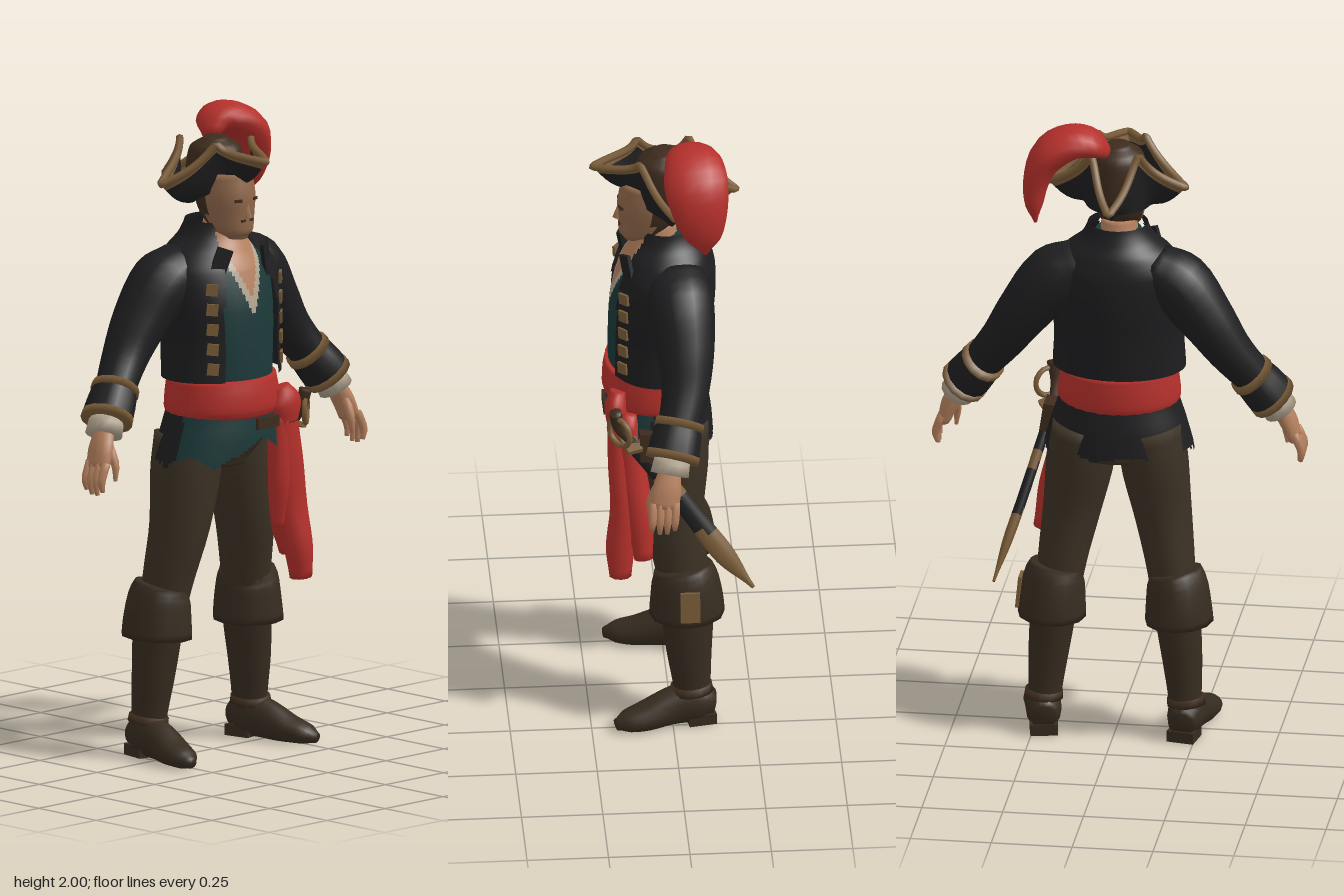
import * as THREE from 'three';

const paint = (name, color) => Object.assign(
  new THREE.MeshStandardMaterial({ color, side: THREE.DoubleSide }), { name });
const black = paint('black cloth', 0x1e1e20), red = paint('red cloth', 0xb5302b);
const teal = paint('teal vest', 0x1c3939), brown = paint('trouser brown', 0x3b3124);
const leather = paint('boot leather', 0x362c20), tan = paint('tan trim', 0x7a5c38);
const skin = paint('skin', 0xb5805e), face = paint('weathered skin', 0x8f674a);
const linen = paint('linen', 0xb3a590), hair = paint('dark hair', 0x3d2b1d);

// Oval sections [x, y, z, radiusU, radiusV] swept along a smooth path.
// pick(x, y, z, angle) chooses a material index per face, or -1 for a gap.
function loft(name, rings, mats, { n = 14, m = 14, ref = [0, 0, 1], flat = false, open = false, pick } = {}) {
  const path = new THREE.CatmullRomCurve3(rings.map(r => new THREE.Vector3(r[0], r[1], r[2])));
  const size = new THREE.SplineCurve(rings.map(r => new THREE.Vector2(r[3], r[4])));
  const pos = [], list = Array.isArray(mats) ? mats : [mats], buckets = list.map(() => []);
  const add = p => pos.push(p.x, Math.max(0, p.y), p.z);
  for (let k = 0; k <= m; k++) {
    const c = path.getPoint(k / m), s = size.getPoint(k / m);
    const t = flat ? new THREE.Vector3(0, 1, 0) : path.getTangent(k / m);
    const u = new THREE.Vector3(...ref).cross(t).normalize(), v = t.clone().cross(u);
    for (let j = 0; j < n; j++) {
      const a = j / n * Math.PI * 2;
      add(c.clone().addScaledVector(u, s.x * Math.cos(a)).addScaledVector(v, s.y * Math.sin(a)));
    }
  }
  for (let k = 0; k < m; k++) for (let j = 0; j < n; j++) {
    const a = k * n + j, b = k * n + (j + 1) % n, c = b + n, d = a + n;
    const mid = i => (pos[a * 3 + i] + pos[b * 3 + i] + pos[c * 3 + i] + pos[d * 3 + i]) / 4;
    const g = pick ? pick(mid(0), mid(1), mid(2), (j + 0.5) / n * Math.PI * 2) : 0;
    if (g >= 0) buckets[g].push(a, b, c, a, c, d);
  }
  if (!open) {
    const e = pos.length / 3, top = m * n;
    add(path.getPoint(0)); add(path.getPoint(1));
    for (let j = 0; j < n; j++) {
      const q = (j + 1) % n;
      buckets[0].push(e, q, j, e + 1, top + j, top + q);
    }
  }
  return meshOf(name, pos, buckets, list);
}

function meshOf(name, pos, buckets, list) {
  const geo = new THREE.BufferGeometry();
  geo.setAttribute('position', new THREE.Float32BufferAttribute(pos, 3));
  geo.setIndex(buckets.flat());
  let start = 0;
  if (list.length > 1) buckets.forEach((b, i) => { geo.addGroup(start, b.length, i); start += b.length; });
  geo.computeVertexNormals();
  const mesh = new THREE.Mesh(geo, list.length > 1 ? list : list[0]);
  mesh.name = name;
  return mesh;
}

function box(name, mat, w, h, d, x, y, z, ry = 0, rz = 0) {
  const b = new THREE.Mesh(new THREE.BoxGeometry(w, h, d), mat);
  b.position.set(x, y, z); b.rotation.set(0, ry, rz); b.name = name;
  return b;
}

// Four-pointed brim: low at its sharp tips, folded up against the crown between them
function hat() {
  const g = new THREE.Group(); g.name = 'hat';
  const N = 96, M = 6, edge = [], pos = [], cloth = [], band = [];
  for (let j = 0; j < N; j++) {
    const a = j / N * Math.PI * 2, c = Math.cos(a), s = Math.sin(a);
    const near = Math.abs((j % 24) - 12) / 12, p = Math.pow(near, 2.2);
    const tip = 1.795 * c * c + (s > 0 ? 1.87 : 1.77) * s * s;
    const inner = new THREE.Vector3(c * 0.1, 1.725 + 0.06 * Math.max(0, s), 0.01 + s * 0.105);
    const r = 0.105 + 0.107 * p;
    const outer = new THREE.Vector3(c * r, 1.915 + (tip - 1.915) * near, 0.01 + s * (r + 0.008) - 0.025 * c * c * p);
    edge.push(outer);
    for (let i = 0; i <= M; i++) {
      const q = inner.clone().lerp(outer, i / M);
      q.y -= 0.02 * Math.sin(i / M * Math.PI) * p;
      pos.push(q.x, q.y, q.z);
      const A = j * (M + 1) + i, B = ((j + 1) % N) * (M + 1) + i;
      if (i < M) (i === M - 1 ? band : cloth).push(A, A + 1, B, B, A + 1, B + 1);
    }
  }
  const trim = new THREE.Mesh(new THREE.TubeGeometry(new THREE.CatmullRomCurve3(edge, true), 192, 0.012, 6, true), tan);
  trim.name = 'brimTrim';
  g.add(meshOf('brim', pos, [cloth, band], [black, tan]), trim);
  g.add(loft('crown', [[0, 1.75, 0.01, 0.092, 0.1], [0, 1.83, 0.01, 0.088, 0.094],
    [0, 1.89, 0.01, 0.075, 0.08], [0, 1.92, 0.01, 0.035, 0.035]], hair, { flat: true, n: 20 }));
  g.add(loft('feather', [[0.03, 1.91, -0.04, 0.02, 0.03], [0.07, 1.945, -0.06, 0.04, 0.07], [0.13, 1.95, -0.07, 0.05, 0.09],
    [0.2, 1.91, -0.075, 0.055, 0.1], [0.238, 1.83, -0.085, 0.042, 0.085], [0.245, 1.75, -0.095, 0.028, 0.055],
    [0.24, 1.69, -0.1, 0.005, 0.008]], red, { m: 20 }));
  return g;
}

function head() {
  const g = new THREE.Group(); g.name = 'head';
  g.add(loft('face', [[0, 1.615, 0.105, 0.03, 0.03], [0, 1.64, 0.085, 0.06, 0.065], [0, 1.69, 0.06, 0.076, 0.092],
    [0, 1.75, 0.05, 0.085, 0.104], [0, 1.82, 0.04, 0.08, 0.1]], [face, hair],
  { n: 24, m: 16, flat: true, pick: (x, y, z) => (z < 0.05 ? 1 : 0) }));
  const nose = new THREE.Mesh(new THREE.ConeGeometry(0.016, 0.045, 4), face);
  nose.position.set(0, 1.708, 0.153); nose.name = 'nose';
  g.add(nose, box('moustache', hair, 0.05, 0.008, 0.009, 0, 1.676, 0.146));
  for (const s of [-1, 1]) g.add(box('eye', hair, 0.024, 0.009, 0.009, s * 0.035, 1.74, 0.145, s * 0.4));
  g.add(loft('neck', [[0, 1.48, 0.02, 0.075, 0.08], [0, 1.58, 0.025, 0.064, 0.07], [0, 1.67, 0.04, 0.055, 0.06]], skin, { flat: true }));
  return g;
}

function torso() {
  const g = new THREE.Group(); g.name = 'torso';
  // Vest with an open linen neckline
  g.add(loft('vest', [[0, 1.06, 0.03, 0.165, 0.145], [0, 1.2, 0.035, 0.165, 0.148], [0, 1.4, 0.03, 0.175, 0.147],
    [0, 1.52, 0.025, 0.165, 0.124], [0, 1.58, 0.02, 0.11, 0.1], [0, 1.635, 0.02, 0.07, 0.077]], [teal, skin, linen],
  { n: 120, m: 90, flat: true, pick: (x, y, z) => {
    const w = (y - 1.43) * 0.42, rim = w + 0.024;
    return z < 0 || Math.abs(x) > rim || y < 1.39 ? 0 : Math.abs(x) < w ? 1 : 2;
  } }));
  // Open jacket with an upright collar
  g.add(loft('jacket', [[0, 1.185, 0.035, 0.205, 0.161], [0, 1.3, 0.03, 0.2, 0.165], [0, 1.42, 0.022, 0.21, 0.168],
    [0, 1.52, 0.008, 0.205, 0.153], [0, 1.58, 0.003, 0.165, 0.13], [0, 1.62, 0.003, 0.115, 0.106], [0, 1.665, 0.005, 0.092, 0.09]], black,
  { n: 96, m: 30, flat: true, open: true, pick: (x, y, z) => (z > 0 && Math.abs(x) < 0.115 - Math.max(0, y - 1.4) * 0.2 ? -1 : 0) }));
  for (const s of [-1, 1]) {
    for (let i = 0; i < 5; i++) g.add(box('button', tan, 0.036, 0.036, 0.009, s * 0.147, 1.23 + i * 0.062, 0.148 - i * 0.001, s * 0.72, s * 0.1));
    g.add(box('lapel', black, 0.05, 0.12, 0.012, s * 0.1, 1.54, 0.127, s * 0.5, s * 0.35));
  }
  // Sash, hips and ragged coat tails
  g.add(loft('sash', [[0, 1.065, 0.035, 0.183, 0.155], [0, 1.09, 0.037, 0.19, 0.164], [0, 1.14, 0.037, 0.185, 0.163],
    [0, 1.185, 0.035, 0.178, 0.157]], red, { n: 28, m: 9, flat: true }));
  g.add(loft('hips', [[0, 0.9, -0.005, 0.12, 0.1], [0, 0.98, 0.01, 0.18, 0.13], [0, 1.08, 0.03, 0.17, 0.14]], brown, { n: 24, flat: true }));
  g.add(loft('coatTails', [[0, 1.1, 0.035, 0.18, 0.152], [0, 1.0, 0.03, 0.21, 0.163], [0, 0.9, 0.025, 0.236, 0.165]], [black, teal],
    { n: 90, m: 24, flat: true, open: true, pick: (x, y, z, a) => {
      if (y < 0.915 + (z > 0 ? 0.04 : 0.02) * Math.abs(Math.sin(a * 3.5))) return -1;
      if (z > 0.05 && y < 1.0 - Math.abs(x - 0.02) * 0.5) return -1;
      return z > 0.06 ? 1 : 0;
    } }));
  g.add(box('beltBuckle', hair, 0.09, 0.035, 0.01, 0.04, 1.045, 0.197));
  return g;
}

function arm(s) {
  const g = new THREE.Group(); g.name = s > 0 ? 'leftArm' : 'rightArm';
  const part = (name, rings, mat, o) => g.add(loft(name, rings.map(([x, ...r]) => [x * s, ...r]), mat, o));
  part('sleeve', [[0.11, 1.54, -0.017, 0.068, 0.09], [0.19, 1.485, -0.026, 0.098, 0.104], [0.28, 1.375, -0.036, 0.085, 0.09],
    [0.35, 1.272, -0.031, 0.07, 0.074], [0.42, 1.18, -0.005, 0.06, 0.064], [0.47, 1.11, 0.015, 0.055, 0.058]], black, { n: 18, m: 20 });
  part('cuff', [[0.41, 1.19, -0.01, 0.066, 0.072], [0.445, 1.145, 0.005, 0.072, 0.079], [0.478, 1.1, 0.018, 0.074, 0.082]], black, { m: 6 });
  part('cuffTopTrim', [[0.407, 1.194, -0.011, 0.07, 0.076], [0.422, 1.175, -0.005, 0.072, 0.078]], tan, { m: 1 });
  part('cuffTrim', [[0.466, 1.117, 0.013, 0.075, 0.083], [0.48, 1.098, 0.019, 0.076, 0.084]], tan, { m: 1 });
  part('ruffle', [[0.475, 1.105, 0.017, 0.05, 0.055], [0.5, 1.06, 0.028, 0.054, 0.06]], linen, { m: 2 });
  part('palm', [[0.495, 1.075, 0.026, 0.029, 0.035], [0.523, 1.02, 0.038, 0.028, 0.046], [0.542, 0.965, 0.046, 0.021, 0.045]], skin, { n: 10, m: 6 });
  for (let i = 0; i < 4; i++) {
    const z = 0.012 + i * 0.023, end = 0.88 + 0.012 * Math.abs(i - 1.5);
    part('finger', [[0.542, 0.985, z, 0.014, 0.014], [0.565, 0.93, z + 0.003, 0.013, 0.013], [0.56, end, z + 0.004, 0.007, 0.007]], skin, { n: 7, m: 5 });
  }
  part('thumb', [[0.51, 1.03, 0.062, 0.015, 0.015], [0.508, 0.975, 0.087, 0.013, 0.013], [0.512, 0.927, 0.091, 0.006, 0.006]], skin, { n: 7, m: 5 });
  return g;
}

function leg(s) {
  const g = new THREE.Group(); g.name = s > 0 ? 'leftLeg' : 'rightLeg';
  const part = (name, rings, mat, o) => g.add(loft(name, rings.map(([x, ...r]) => [x * s, ...r]), mat, o));
  part('trouserLeg', [[0.1, 1.0, -0.005, 0.1, 0.115], [0.115, 0.88, -0.005, 0.105, 0.113], [0.14, 0.72, -0.005, 0.09, 0.098],
    [0.165, 0.57, -0.025, 0.077, 0.085], [0.18, 0.45, -0.04, 0.07, 0.075]], brown, { n: 18 });
  part('bootShaft', [[0.185, 0.5, -0.04, 0.075, 0.085], [0.195, 0.37, -0.048, 0.07, 0.08], [0.207, 0.25, -0.052, 0.062, 0.07],
    [0.216, 0.13, -0.06, 0.052, 0.058], [0.22, 0.05, -0.065, 0.05, 0.058]], leather, { n: 16 });
  part('bootCuff', [[0.183, 0.535, -0.035, 0.082, 0.09], [0.19, 0.5, -0.04, 0.094, 0.102], [0.195, 0.43, -0.045, 0.102, 0.112],
    [0.197, 0.375, -0.046, 0.106, 0.116]], leather, { n: 12, m: 8 });
  if (s > 0) g.add(box('bootStrap', tan, 0.01, 0.1, 0.06, 0.297, 0.45, -0.05, 0, 0.1));
  part('foot', [[0.212, 0.06, -0.125, 0.04, 0.04], [0.218, 0.07, -0.08, 0.055, 0.07], [0.23, 0.06, 0.0, 0.052, 0.062],
    [0.248, 0.038, 0.08, 0.055, 0.045], [0.262, 0.028, 0.14, 0.045, 0.032], [0.27, 0.02, 0.178, 0.018, 0.016]], leather, { ref: [0, 1, 0], n: 16, m: 16 });
  part('ankleStrap', [[0.219, 0.13, -0.058, 0.058, 0.064], [0.221, 0.105, -0.06, 0.06, 0.067]], hair, { m: 1 });
  g.add(box('heel', leather, 0.085, 0.035, 0.085, s * 0.217, 0.0175, -0.085, s * 0.18));
  return g;
}

function sashTails() {
  const g = new THREE.Group(); g.name = 'sashTails';
  g.add(loft('knot', [[0.13, 1.14, 0.16, 0.03, 0.025], [0.145, 1.09, 0.17, 0.055, 0.033], [0.15, 1.03, 0.165, 0.045, 0.03]], red));
  g.add(loft('longTail', [[0.14, 1.08, 0.165, 0.045, 0.03], [0.165, 0.9, 0.16, 0.055, 0.035], [0.19, 0.75, 0.15, 0.055, 0.04],
    [0.21, 0.62, 0.16, 0.045, 0.045], [0.22, 0.53, 0.16, 0.035, 0.035]], red, { n: 10 }));
  g.add(loft('shortTail', [[0.16, 1.07, 0.14, 0.04, 0.035], [0.175, 0.88, 0.12, 0.05, 0.045], [0.205, 0.73, 0.1, 0.055, 0.045],
    [0.24, 0.6, 0.09, 0.035, 0.03]], red, { n: 10 }));
  g.add(loft('sideTail', [[0.13, 1.06, 0.17, 0.03, 0.02], [0.135, 0.85, 0.165, 0.035, 0.025], [0.145, 0.7, 0.14, 0.025, 0.02]], red, { n: 8 }));
  return g;
}

function sword() {
  const g = new THREE.Group(); g.name = 'sword';
  g.add(loft('scabbard', [[0.215, 1.0, 0.12, 0.016, 0.028], [0.25, 0.88, 0.02, 0.016, 0.03], [0.285, 0.76, -0.07, 0.016, 0.032],
    [0.32, 0.65, -0.155, 0.015, 0.034], [0.35, 0.55, -0.24, 0.004, 0.006]], [black, tan],
  { n: 10, m: 20, pick: (x, y) => (y < 0.73 || Math.abs(y - 0.87) < 0.02 ? 1 : 0) }));
  g.add(loft('grip', [[0.215, 1.0, 0.12, 0.015, 0.015], [0.215, 1.06, 0.165, 0.017, 0.017], [0.225, 1.12, 0.175, 0.02, 0.02]], hair, { n: 8 }));
  const guard = new THREE.Mesh(new THREE.TorusGeometry(0.045, 0.009, 6, 16), tan);
  guard.position.set(0.238, 1.055, 0.163); guard.rotation.y = 0.7; guard.name = 'handGuard';
  g.add(guard, box('crossGuard', tan, 0.08, 0.015, 0.05, 0.22, 1.005, 0.13, 0.4, -0.3));
  g.add(box('pouch', hair, 0.05, 0.09, 0.08, 0.215, 0.99, 0.06, 0, 0.15));
  return g;
}

export function createModel() {
  const model = new THREE.Group(); model.name = 'swashbuckler';
  model.add(hat(), head(), torso(), sashTails(), sword());
  for (const s of [-1, 1]) model.add(arm(s), leg(s));
  return model;
}
